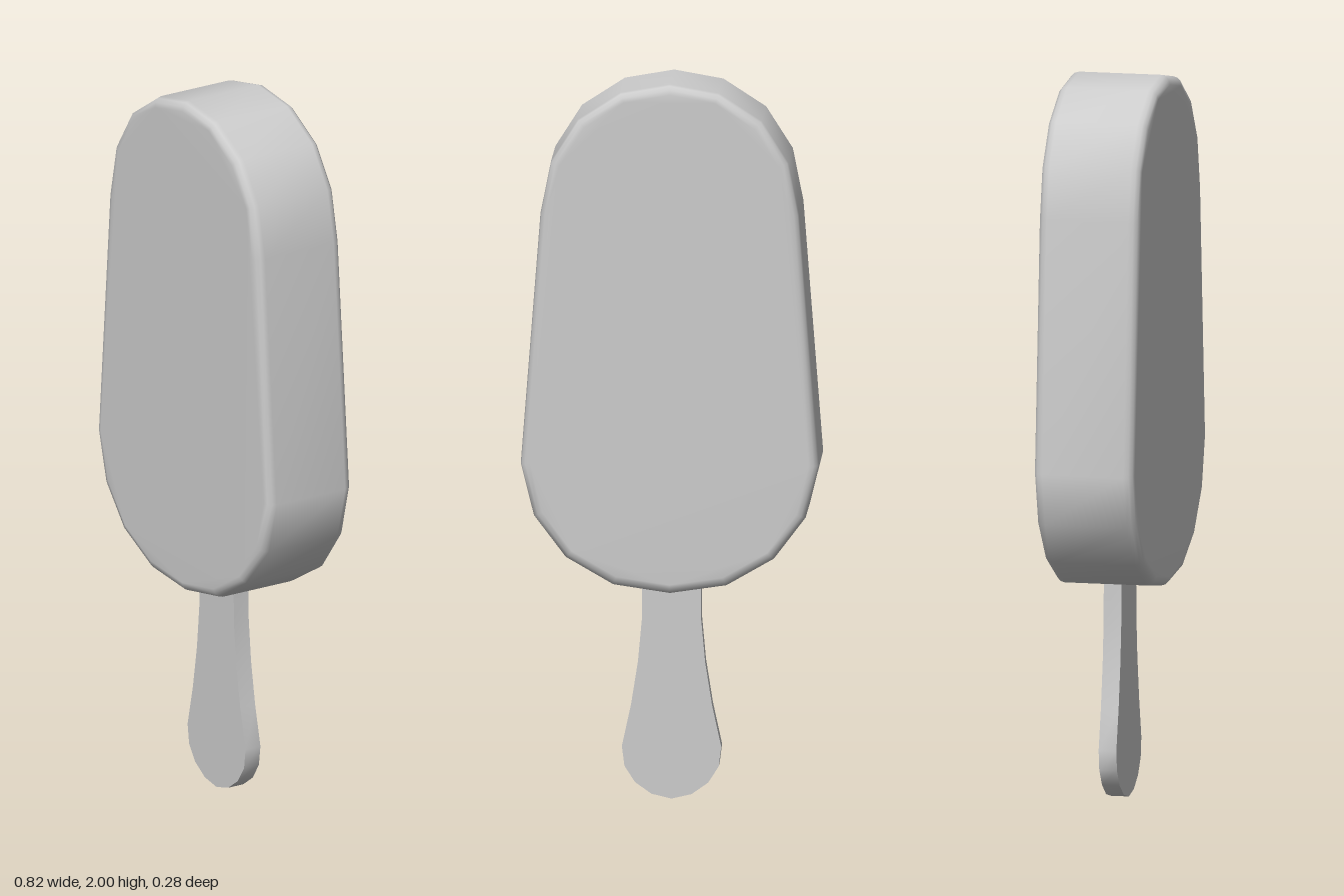
import * as THREE from 'three';
import { mergeVertices, toCreasedNormals } from 'three/addons/utils/BufferGeometryUtils.js';

const material = new THREE.MeshStandardMaterial({ color: 0xcccccc });

// Closed outline from its right half (listed bottom to top), mirrored in x
function mirroredShape(half) {
  const left = half.filter(([x]) => x > 0).reverse().map(([x, y]) => [-x, y]);
  return new THREE.Shape([...half, ...left].map(([x, y]) => new THREE.Vector2(x, y)));
}

function addPart(group, name, geometry) {
  const mesh = new THREE.Mesh(geometry, material);
  mesh.name = name;
  group.add(mesh);
}

export function createModel() {
  const group = new THREE.Group();
  group.name = 'icePop';

  // Ice cream: tapered rounded slab with a soft bevelled rim
  const bevel = 0.026, thickness = 0.282;
  const slab = new THREE.ExtrudeGeometry(mirroredShape([
    [0, 0.587], [0.155, 0.61], [0.285, 0.685], [0.372, 0.8], [0.408, 0.945],
    [0.354, 1.64], [0.325, 1.785], [0.252, 1.9], [0.135, 1.976], [0, 2],
  ]), {
    depth: thickness - 2 * bevel, steps: 1,
    bevelSize: bevel, bevelThickness: bevel, bevelOffset: -bevel, bevelSegments: 3,
  });
  slab.translate(0, 0, bevel - thickness / 2);
  slab.deleteAttribute('uv');
  slab.deleteAttribute('normal');
  const smoothSlab = mergeVertices(slab);
  smoothSlab.computeVertexNormals();
  addPart(group, 'iceCream', smoothSlab);

  // Stick: thin flat handle flaring to a round end, top hidden in the ice cream
  const stick = new THREE.ExtrudeGeometry(mirroredShape([
    [0, 0], [0.055, 0.013], [0.1, 0.045], [0.129, 0.09], [0.136, 0.145],
    [0.111, 0.26], [0.092, 0.38], [0.081, 0.5], [0.08, 0.64],
  ]), { depth: 0.05, bevelEnabled: false });
  stick.translate(0, 0, -0.025);
  addPart(group, 'stick', toCreasedNormals(stick, 0.8));

  return group;
}
